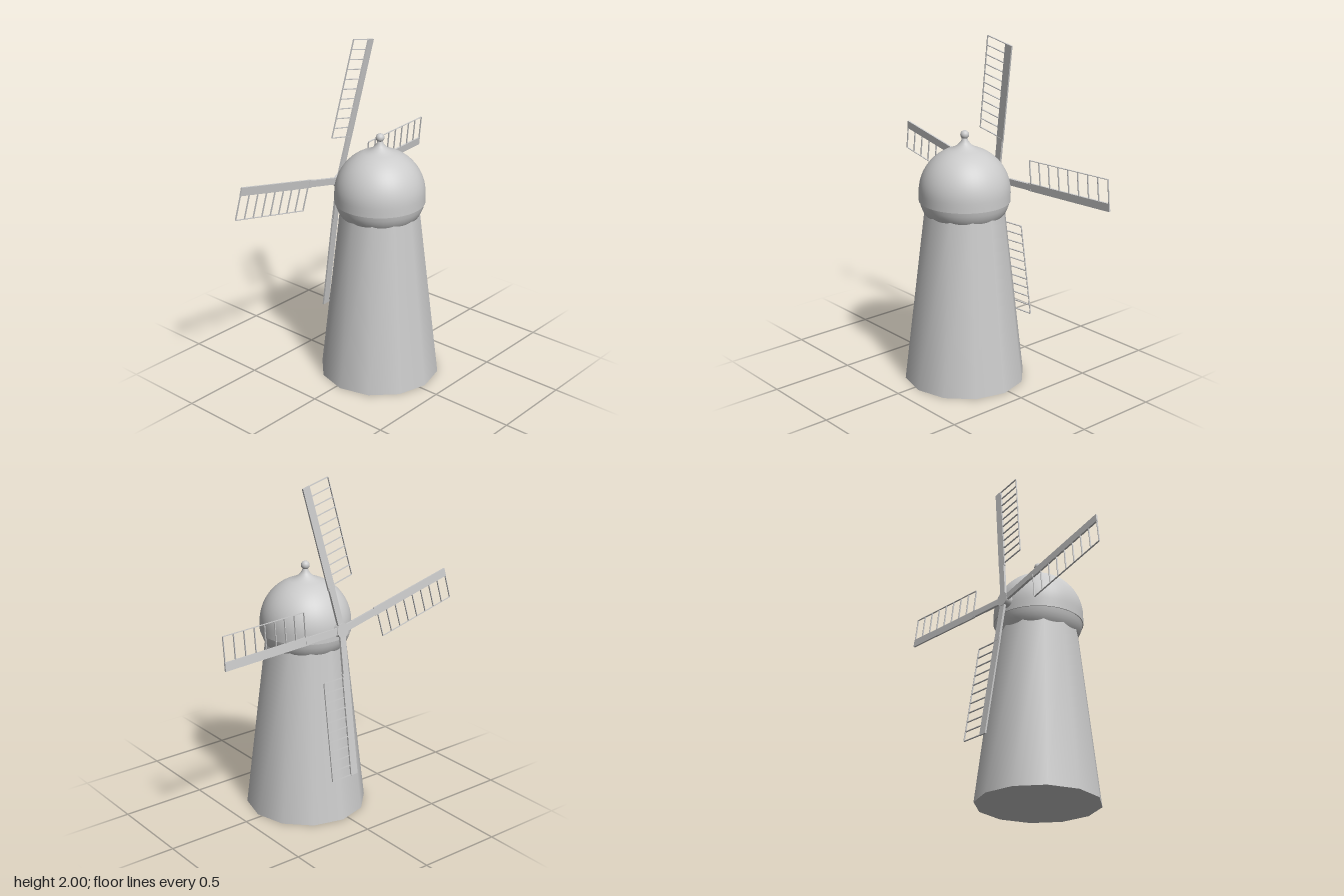
import * as THREE from 'three';

const material = new THREE.MeshStandardMaterial({ color: 0xcccccc });
const CX = 0.04, CZ = 0.03;                       // tower axis
const HUB = new THREE.Vector3(0, 1.147, -0.25);   // rotor centre, behind the cap
const AXIS = new THREE.Vector3(0.06, -0.11, 1).normalize();

function add(parent, name, geometry, x = 0, y = 0, z = 0) {
  const mesh = new THREE.Mesh(geometry, material);
  mesh.name = name;
  mesh.position.set(x, y, z);
  parent.add(mesh);
  return mesh;
}

function lathe(points, segments) {
  return new THREE.LatheGeometry(points.map(([r, y]) => new THREE.Vector2(r, y)), segments);
}

// One sail: +x runs from hub to tip, +y towards the lattice, +z along the axle
function makeSail(name, tip, rungs) {
  const sail = new THREE.Group();
  sail.name = name;
  const u = new THREE.Vector3(...tip).sub(HUB);
  const length = u.length();
  u.normalize();
  const v = new THREE.Vector3().crossVectors(AXIS, u).normalize();
  const n = new THREE.Vector3().crossVectors(u, v);
  sail.quaternion.setFromRotationMatrix(new THREE.Matrix4().makeBasis(u, v, n));
  sail.position.copy(HUB);

  const start = 0.27, inner = 0.024, outer = 0.163;
  add(sail, 'arm', new THREE.BoxGeometry(start, 0.04, 0.014), start / 2);
  add(sail, 'spar', new THREE.BoxGeometry(length - start + 0.02, 0.048, 0.01), (length + start - 0.02) / 2);

  // Lattice of thin rungs closed by a rail
  const end = length - 0.003;
  for (let i = 0; i < rungs; i++) {
    const x = start + (end - start) * i / (rungs - 1);
    add(sail, 'rung', new THREE.BoxGeometry(0.004, outer - inner, 0.008), x, (inner + outer) / 2);
  }
  add(sail, 'rail', new THREE.BoxGeometry(end - start, 0.003, 0.008), (start + end) / 2, outer);
  return sail;
}

export function createModel() {
  const model = new THREE.Group();
  model.name = 'windmill';

  // Twelve-sided tapering tower
  add(model, 'tower', new THREE.CylinderGeometry(0.233, 0.355, 1.03, 12), CX, 0.515, CZ);

  // Flared collar under the cap
  add(model, 'collar', lathe([
    [0.215, 0.99], [0.232, 1.012], [0.243, 1.035], [0.252, 1.058], [0.257, 1.085],
  ], 48), CX, 0, CZ);

  // Underside lip of the cap
  add(model, 'capLip', lathe([[0.24, 1.083], [0.262, 1.083]], 48), CX, 0, CZ);

  // Domed cap drawn up into a slender neck
  const dome = [[0.262, 1.083], [0.262, 1.11]];
  for (let i = 0; i <= 14; i++) {
    const a = i / 14 * 1.3;
    dome.push([0.262 * Math.cos(a), 1.135 + 0.262 * Math.sin(a)]);
  }
  dome.push([0.045, 1.402], [0.029, 1.418], [0.019, 1.433], [0.015, 1.45]);
  add(model, 'cap', lathe(dome, 48), CX, 0, CZ);
  add(model, 'finial', new THREE.SphereGeometry(0.025, 24, 16), CX, 1.465, CZ);

  // Rotor hub and axle
  const axle = add(model, 'hub', new THREE.CylinderGeometry(0.042, 0.042, 0.06, 20), HUB.x, HUB.y, HUB.z);
  axle.quaternion.setFromUnitVectors(new THREE.Vector3(0, 1, 0), AXIS);
  axle.position.addScaledVector(AXIS, 0.018);

  // Four sails, placed by their tips
  model.add(
    makeSail('upperSail', [0.185, 1.97, -0.165], 11),
    makeSail('rightSail', [-0.8, 1.325, -0.225], 9),
    makeSail('leftSail', [0.83, 1.153, -0.322], 9),
    makeSail('lowerSail', [0.003, 0.305, -0.375], 11),
  );
  return model;
}
